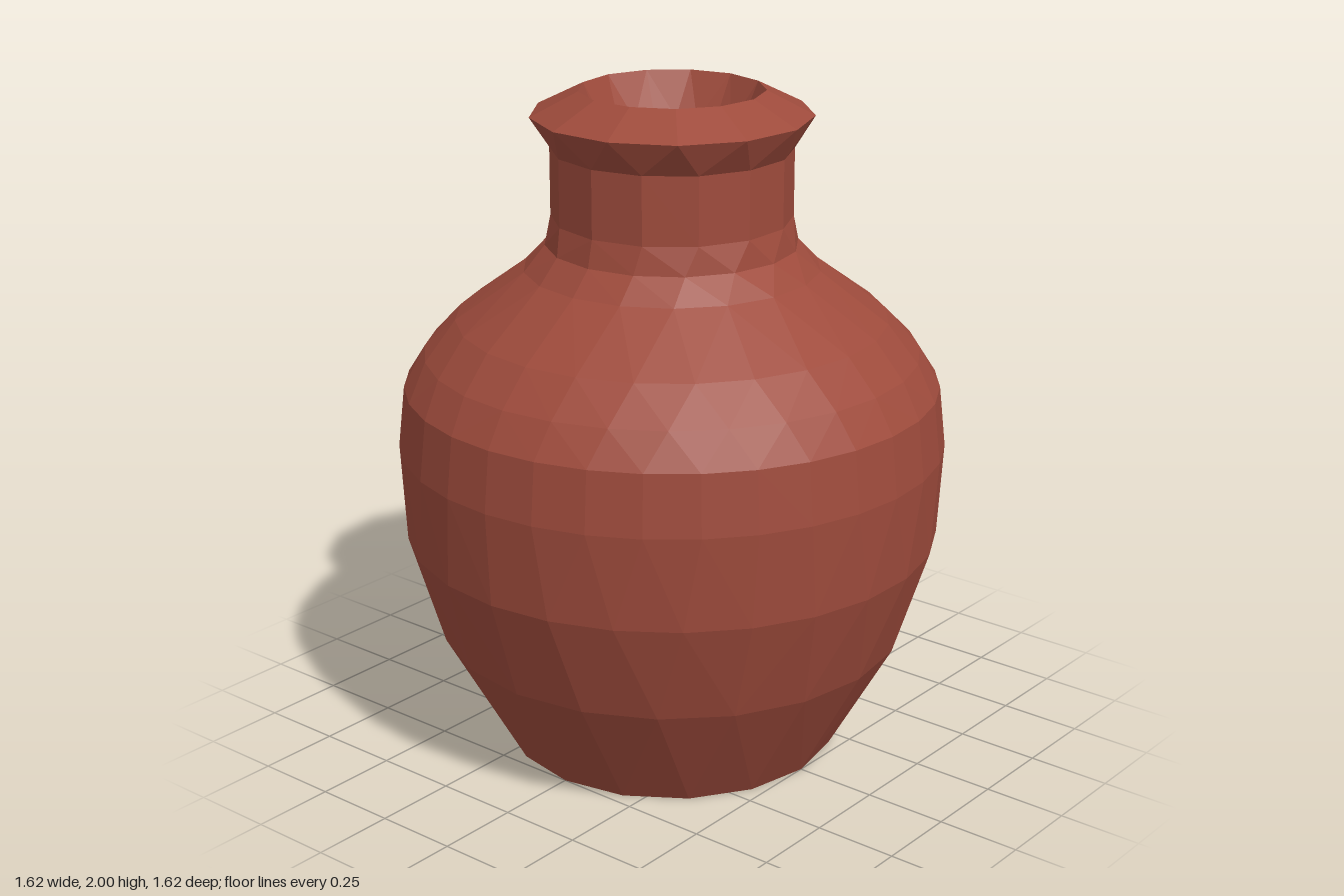
import * as THREE from 'three';

const TAU = Math.PI * 2;

// point k of a ring [sides, radius, height, phase as a fraction of one side]
function ringPoint([n, r, y, phase = 0], k) {
  const a = ((k % n) + phase) / n * TAU;
  return new THREE.Vector3(r * Math.cos(a), y, -r * Math.sin(a));
}

// joins rings that may differ in their number of sides into a faceted skin
function skin(rings) {
  const pts = [];
  const tri = (a, b, c) => {
    const area = b.clone().sub(a).cross(c.clone().sub(a)).length();
    if (area > 1e-7) for (const p of [a, b, c]) pts.push(p.x, p.y, p.z);
  };
  for (let s = 0; s < rings.length - 1; s++) {
    const A = rings[s], B = rings[s + 1];
    let i = 0, j = 0;
    while (i < A[0] || j < B[0]) {
      const nextA = (i + 0.5 + (A[3] || 0)) / A[0], nextB = (j + 0.5 + (B[3] || 0)) / B[0];
      if (j >= B[0] || (i < A[0] && nextA <= nextB)) {
        tri(ringPoint(A, i), ringPoint(A, i + 1), ringPoint(B, j));
        i++;
      } else {
        tri(ringPoint(A, i), ringPoint(B, j + 1), ringPoint(B, j));
        j++;
      }
    }
  }
  const g = new THREE.BufferGeometry();
  g.setAttribute('position', new THREE.Float32BufferAttribute(pts, 3));
  g.computeVertexNormals();
  return g;
}

export function createModel() {
  const group = new THREE.Group();
  group.name = 'clayJar';
  const clay = new THREE.MeshStandardMaterial({ color: 0x9e4b3c, flatShading: true });
  clay.name = 'terracotta';

  const foot = [16, 0.5, 0];
  const shoulder = [16, 0.37, 1.55];
  const lip = [13, 0.41, 1.93];
  const mouth = [13, 0.27, 2];
  const throat = [20, 0.2, 1.87];

  const parts = {
    // flat underside
    base: [[1, 0, 0], foot],
    // round belly, with more sides where it is widest
    belly: [
      foot, [20, 0.7, 0.36], [26, 0.795, 0.67], [32, 0.81, 0.95], [32, 0.79, 1.13],
      [28, 0.73, 1.23], [24, 0.635, 1.33], [18, 0.435, 1.48], shoulder,
    ],
    neck: [shoulder, [14, 0.352, 1.63], [14, 0.352, 1.83], lip],
    // sloping rim and the funnel inside it
    rim: [lip, mouth, throat],
    // hollow inside, ending in a flat floor
    inside: [
      throat, [20, 0.22, 1.6], [20, 0.32, 1.42], [20, 0.6, 1.15],
      [20, 0.66, 0.9], [20, 0.55, 0.4], [20, 0.42, 0.14], [1, 0, 0.14],
    ],
  };

  for (const [name, rings] of Object.entries(parts)) {
    const mesh = new THREE.Mesh(skin(rings), clay);
    mesh.name = name;
    group.add(mesh);
  }
  return group;
}
